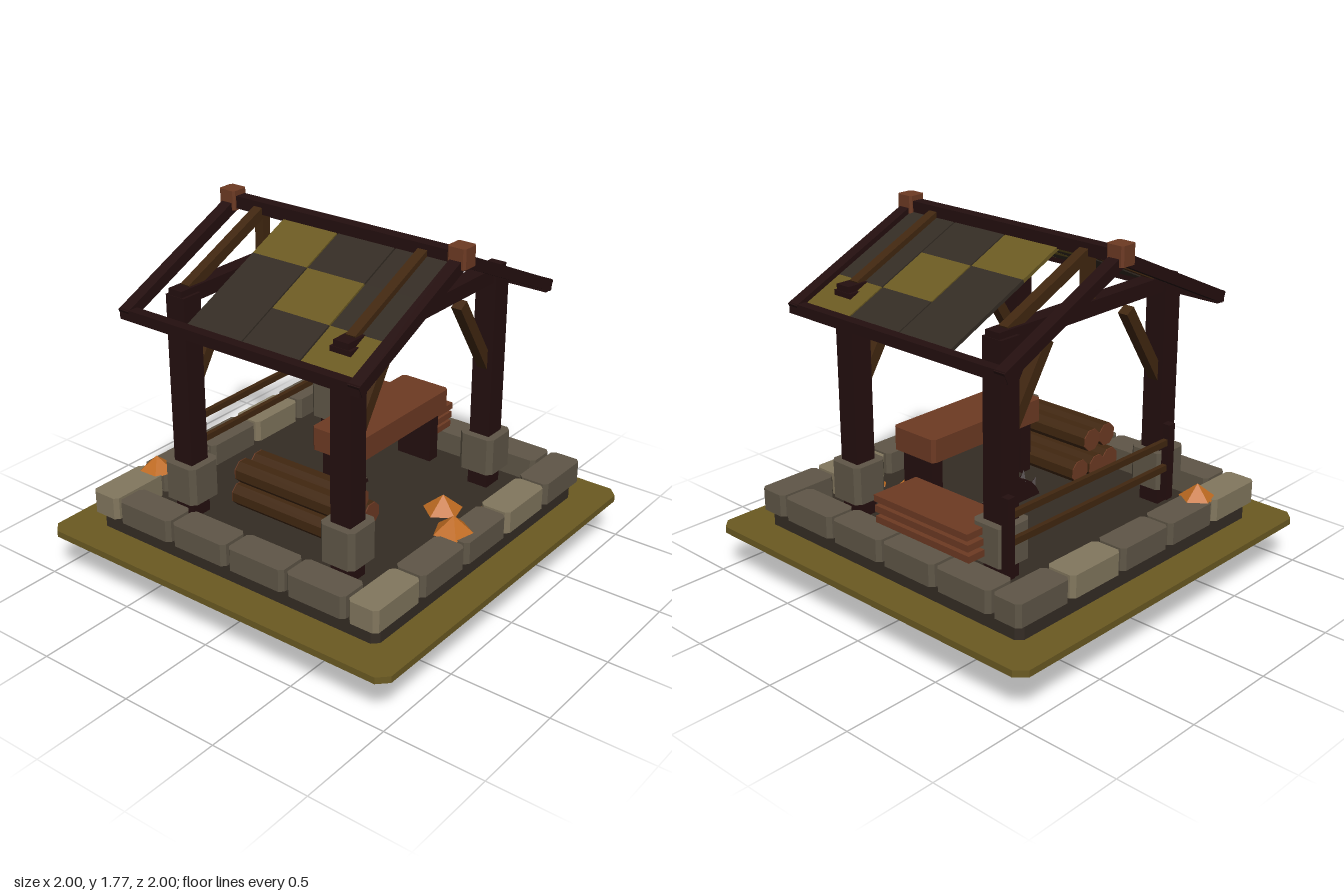
import * as THREE from 'three';

const mat = (name, color) => {
  const m = new THREE.MeshStandardMaterial({ color });
  m.name = name;
  return m;
};

export function createModel() {
  const root = new THREE.Group();
  root.name = 'sawmillShelter';
  const moss = mat('moss', 0x6b5a22);
  const floorStone = mat('darkStone', 0x342c24);
  const stone = mat('stone', 0x5f5647);
  const paleStone = mat('paleStone', 0x82775e);
  const darkWood = mat('darkWood', 0x240f0f);
  const brownWood = mat('brownWood', 0x412710);
  const redWood = mat('redWood', 0x6d3a23);
  const orange = mat('orange', 0xc06c22);

  const group = (name) => {
    const g = new THREE.Group();
    g.name = name;
    root.add(g);
    return g;
  };
  const add = (parent, name, geo, material, x, y, z) => {
    const m = new THREE.Mesh(geo, material);
    m.name = name;
    m.position.set(x, y, z);
    parent.add(m);
    return m;
  };
  // Box given by its lower and upper limits
  const box = (parent, name, material, x0, x1, y0, y1, z0, z1) =>
    add(parent, name, new THREE.BoxGeometry(x1 - x0, y1 - y0, z1 - z0), material,
      (x0 + x1) / 2, (y0 + y1) / 2, (z0 + z1) / 2);
  // Block with cut vertical edges, standing on y0
  const block = (parent, name, material, x, z, w, d, y0, y1, c) => {
    const a = w / 2, b = d / 2;
    const s = new THREE.Shape([
      [-a + c, -b], [a - c, -b], [a, -b + c], [a, b - c],
      [a - c, b], [-a + c, b], [-a, b - c], [-a, -b + c],
    ].map(([px, py]) => new THREE.Vector2(px, py)));
    const geo = new THREE.ExtrudeGeometry(s, { depth: y1 - y0, bevelEnabled: false });
    geo.rotateX(-Math.PI / 2);
    return add(parent, name, geo, material, x, y0, z);
  };
  // Straight timber between two points of one z plane
  const beam = (parent, name, material, xa, ya, xb, yb, z, thick, depth) => {
    const m = add(parent, name,
      new THREE.BoxGeometry(Math.hypot(xb - xa, yb - ya), thick, depth),
      material, (xa + xb) / 2, (ya + yb) / 2, z);
    m.rotation.z = Math.atan2(yb - ya, xb - xa);
    return m;
  };

  // Ground slab and floor
  block(root, 'ground', moss, 0, 0, 2, 2, 0.225, 0.258, 0.05);
  block(root, 'floor', floorStone, 0, 0, 1.64, 1.65, 0.258, 0.338, 0.03);

  // Stone border
  const border = group('stoneBorder');
  for (const s of [-1, 1]) {
    for (let i = 0; i < 5; i++) {
      block(border, 'borderStone', i % 3 === 0 ? paleStone : stone,
        (i - 2) * 0.3425, s * 0.767, 0.327, 0.158, 0.338, 0.45, 0.02);
    }
    for (let i = 0; i < 4; i++) {
      block(border, 'borderStone', stone, s * 0.77, (i - 1.5) * 0.34, 0.158, 0.322, 0.338, 0.45, 0.02);
    }
  }

  // Posts with footings, ties, braces and inner rafters
  const frame = group('frame');
  for (const sz of [-1, 1]) {
    const z = sz * 0.468;
    for (const sx of [-1, 1]) {
      const x = sx * 0.553;
      box(frame, 'post', darkWood, x - 0.055, x + 0.055, 0.338, 1.462, z - 0.055, z + 0.055);
      block(frame, 'footing', stone, x, z, 0.19, 0.19, 0.43, 0.62, 0.025);
      beam(frame, 'brace', brownWood, sx * 0.275, 1.375, sx * 0.54, 0.96, z, 0.055, 0.055);
      beam(frame, 'innerRafter', brownWood, 0, 1.715, sx * 0.53, 1.475, z, 0.05, 0.05);
    }
    box(frame, 'tieBeam', darkWood, -0.605, 0.605, 1.42, 1.492, z - 0.04, z + 0.04);
    box(frame, 'kingPost', brownWood, -0.025, 0.025, 1.49, 1.7, z - 0.025, z + 0.025);
  }

  // Roof timbers
  const roof = group('roof');
  box(roof, 'ridgeBeam', darkWood, -0.03, 0.03, 1.695, 1.755, -0.65, 0.65);
  for (const s of [-1, 1]) {
    for (const sz of [-1, 1]) {
      beam(roof, 'gableRafter', darkWood, 0, 1.712, s * 0.745, 1.372, sz * 0.648, 0.055, 0.06);
    }
    box(roof, 'eaveBeam', darkWood, s * 0.725 - 0.026, s * 0.725 + 0.026, 1.35, 1.402, -0.675, 0.675);
    block(roof, 'ridgeCap', redWood, 0, s * 0.65, 0.092, 0.095, 1.685, 1.78, 0.01);
  }

  // Roof panels, with the back bay left open
  const zBays = [-0.157, 0.163, 0.475];
  const edges = [0.01, 0.245, 0.49, 0.71];
  const roofY = (x) => 1.705 - 0.457 * x;
  for (const s of [-1, 1]) {
    zBays.forEach((z, bay) => {
      for (let row = 0; row < 3; row++) {
        const a = edges[row], b = edges[row + 1];
        beam(roof, 'roofPanel', row === bay ? moss : floorStone,
          s * a, roofY(a), s * b, roofY(b), z, 0.018, bay === 2 ? 0.295 : 0.313);
      }
    });
  }

  // Back railing
  const railing = group('railing');
  for (const x of [-0.445, 0.662]) {
    box(railing, 'railPost', darkWood, x - 0.021, x + 0.021, 0.42, 0.805, -0.632, -0.592);
  }
  for (const y of [0.585, 0.715]) {
    box(railing, 'rail', brownWood, -0.445, 0.662, y - 0.016, y + 0.016, -0.624, -0.6);
  }

  // Work bench
  const bench = group('workBench');
  block(bench, 'benchTop', redWood, 0.118, 0.155, 0.736, 0.27, 0.705, 0.82, 0.016);
  for (const x of [-0.18, 0.427]) {
    box(bench, 'benchLeg', darkWood, x - 0.032, x + 0.032, 0.44, 0.705, 0.057, 0.25);
  }

  // Saw blade with teeth and pale spokes
  const saw = group('sawBlade');
  saw.position.set(0, 0.26, 0);
  const disc = new THREE.CylinderGeometry(0.21, 0.21, 0.045, 28).toNonIndexed();
  disc.computeVertexNormals();
  disc.rotateX(Math.PI / 2);
  add(saw, 'disc', disc, darkWood, 0, 0, 0);
  for (let i = 0; i < 14; i++) {
    const arm = new THREE.Group();
    arm.name = 'sawSector';
    arm.rotation.z = Math.PI + (i / 14) * Math.PI * 2;
    saw.add(arm);
    const tooth = new THREE.ConeGeometry(0.024, 0.055, 4).toNonIndexed();
    tooth.computeVertexNormals();
    add(arm, 'tooth', tooth, darkWood, 0, 0.225, 0).rotation.z = -0.25;
    box(arm, 'spoke', paleStone, -0.008, 0.008, 0.03, 0.2, 0.0225, 0.036);
  }

  // Log pile with sawn ends
  const logs = group('logPile');
  const logGeo = new THREE.CylinderGeometry(0.059, 0.059, 0.6, 8).toNonIndexed();
  logGeo.computeVertexNormals();
  logGeo.rotateY(Math.PI / 8);
  logGeo.rotateX(Math.PI / 2);
  const endGeo = new THREE.CylinderGeometry(0.058, 0.058, 0.006, 8).toNonIndexed();
  endGeo.computeVertexNormals();
  endGeo.rotateY(Math.PI / 8);
  endGeo.rotateX(Math.PI / 2);
  [[-0.49, 0.495, 0.08], [-0.38, 0.495, 0.07], [-0.27, 0.495, 0.085],
    [-0.487, 0.62, 0.1], [-0.38, 0.62, 0.105]].forEach(([x, y, z]) => {
    add(logs, 'log', logGeo, brownWood, x, y, z);
    for (const s of [-1, 1]) add(logs, 'logEnd', endGeo, redWood, x, y, z + s * 0.302);
  });

  // Stacked planks
  const planks = group('plankStack');
  [0.465, 0.517, 0.568].forEach((y, i) => {
    const shift = (i - 1) * 0.005;
    box(planks, 'plank', redWood, 0.48, 0.745, y, y + 0.033, -0.452 + shift, 0.142 + shift);
  });

  // Little heaps of wood chips
  const heaps = group('chipHeaps');
  [[-0.1, 0.445, 0.725, 0.1, 0.4], [-0.5, 0.445, -0.755, 0.092, 1.6],
    [0.18, 0.345, 0.48, 0.1, 0.9], [0.28, 0.338, 0.64, 0.045, 2]].forEach(([x, y, z, r, turn]) => {
    const geo = new THREE.ConeGeometry(r, r * 0.82, 5).toNonIndexed();
    geo.computeVertexNormals();
    add(heaps, 'chipHeap', geo, orange, x, y + r * 0.41, z).rotation.y = turn;
  });

  return root;
}
